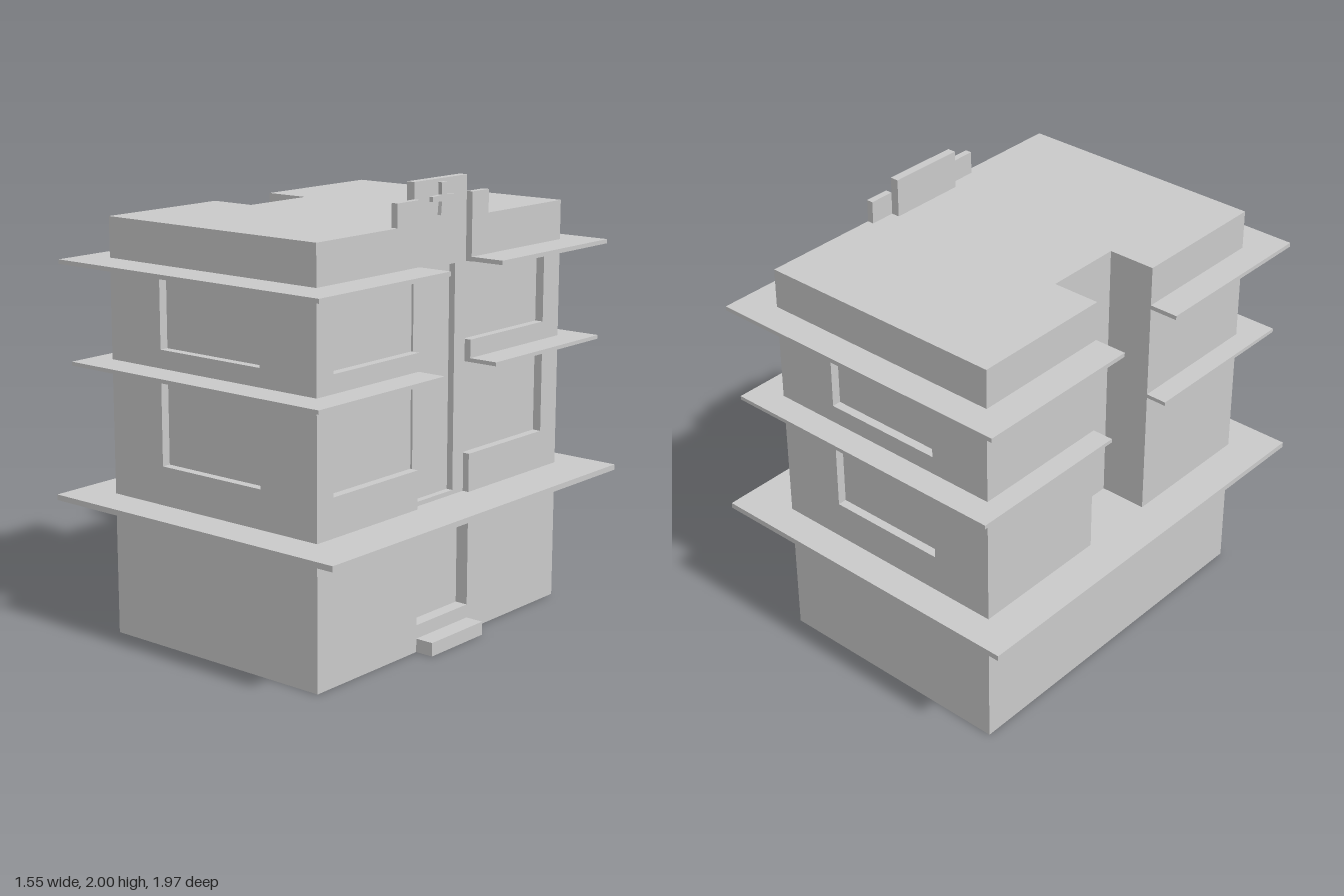
import * as THREE from 'three';

const material = new THREE.MeshStandardMaterial({ color: 0xcccccc, flatShading: true });

// Main dimensions of the building
const LEFT = 0.545, RIGHT = -0.6, FRONT = 0.81, BACK = -0.84;
const BAY_F = 0.17, BAY_B = -0.185; // central bay on the entrance side and the rear shaft
const REVEAL = 0.04;

export function createModel() {
  const group = new THREE.Group();

  const add = (name, geometry) => {
    const mesh = new THREE.Mesh(geometry, material);
    mesh.name = name;
    group.add(mesh);
    return mesh;
  };

  // Box given by its limits on each axis
  const box = (name, x0, x1, y0, y1, z0, z1) =>
    add(name, new THREE.BoxGeometry(x1 - x0, y1 - y0, z1 - z0))
      .position.set((x0 + x1) / 2, (y0 + y1) / 2, (z0 + z1) / 2);

  // Floor plan of [x, z] corners raised from y0 to y1
  const storey = (name, plan, y0, y1) => {
    const shape = new THREE.Shape(plan.map(([x, z]) => new THREE.Vector2(x, -z)));
    const geometry = new THREE.ExtrudeGeometry(shape, { depth: y1 - y0, bevelEnabled: false });
    geometry.rotateX(-Math.PI / 2);
    add(name, geometry).position.y = y0;
  };

  // Recess in a wall, as the four corners passed when walking along it
  const recessX = (wall, depth, a, b) => [[wall, a], [wall - depth, a], [wall - depth, b], [wall, b]];
  const recessZ = (wall, depth, a, b) => [[a, wall], [a, wall - depth], [b, wall - depth], [b, wall]];

  // Upper floor plan: rear shaft, entrance bay, and optional windows and tall panel
  const upperPlan = (windows, panel) => [
    [RIGHT, FRONT],
    ...(windows ? recessZ(FRONT, REVEAL, -0.31, 0.245) : []),
    [LEFT, FRONT],
    ...(windows ? [[LEFT, 0.71], [LEFT - REVEAL, 0.71], [LEFT - REVEAL, BAY_F]] : [[LEFT, BAY_F]]),
    [0.515, BAY_F],
    ...(panel ? recessX(0.515, 0.03, 0.13, -0.11) : []),
    [0.515, BAY_B],
    ...(windows ? [[LEFT - REVEAL, BAY_B], [LEFT - REVEAL, -0.72], [LEFT, -0.72]] : [[LEFT, BAY_B]]),
    [LEFT, BACK],
    ...(windows ? recessZ(BACK, -REVEAL, 0.245, -0.31) : []),
    [RIGHT, BACK],
    [RIGHT, BAY_B], [-0.385, BAY_B], [-0.385, BAY_F], [RIGHT, BAY_F],
  ];

  // Ground floor with recessed doorway and step
  box('plinth', RIGHT, LEFT, 0, 0.12, BACK, FRONT);
  storey('groundFloor', [
    [RIGHT, FRONT], [LEFT, FRONT],
    ...recessX(LEFT, 0.06, BAY_F, BAY_B),
    [LEFT, BACK], [RIGHT, BACK],
  ], 0.12, 0.605);
  box('entranceStep', LEFT - 0.01, 0.63, 0, 0.06, BAY_B, BAY_F);

  // Upper walls, bottom to top: [y0, y1, windows, panel]
  [
    [0.63, 0.65, false, false],
    [0.65, 0.8, false, true],
    [0.8, 1.205, true, true],
    [1.205, 1.3, false, true],
    [1.3, 1.635, true, true],
    [1.635, 1.83, false, false],
  ].forEach(([y0, y1, windows, panel]) => storey('upperWalls', upperPlan(windows, panel), y0, y1));

  // Projecting slabs: one full, two split around the central bay
  box('firstFloorSlab', -0.78, 0.775, 0.605, 0.63, -0.985, 0.985);
  [
    ['secondFloorCanopy', 0.68, -0.695, -0.695, 1.203, 1.22, 0.955, -0.96],
    ['topCanopy', 0.705, -0.73, -0.745, 1.636, 1.655, 0.98, -0.975],
  ].forEach(([name, left, frontRight, backRight, y0, y1, front, back]) => {
    const half = (x0, zWall, zEdge) => {
      // U-shaped strip wrapped around the walls
      const z0 = Math.min(zWall, zEdge), z1 = Math.max(zWall, zEdge);
      const wallZ = zEdge > 0 ? FRONT - 0.05 : BACK + 0.05;
      box(name, x0, left, y0, y1, Math.min(wallZ, zEdge), Math.max(wallZ, zEdge));
      box(name, x0, RIGHT + 0.05, y0, y1, z0, z1);
      box(name, LEFT - 0.05, left, y0, y1, z0, z1);
    };
    half(frontRight, BAY_F, front);
    half(backRight, BAY_B, back);
  });

  // Stepped parapet with a raised cross
  box('signPanel', 0.477, 0.515, 1.83, 2, BAY_B, BAY_F);
  box('parapetFront', 0.515, LEFT, 1.83, 1.93, BAY_F, 0.315);
  box('parapetBack', 0.515, LEFT, 1.83, 1.93, -0.3, BAY_B);
  const cross = [
    [0.07, -0.01], [0.07, 0.01], [0.016, 0.014], [0.02, 0.066], [-0.02, 0.066], [-0.016, 0.014],
    [-0.078, 0.01], [-0.078, -0.01], [-0.016, -0.014], [-0.022, -0.07], [0.022, -0.07], [0.016, -0.014],
  ].map(([u, v]) => new THREE.Vector2(u, v));
  const crossGeometry = new THREE.ExtrudeGeometry(new THREE.Shape(cross), { depth: 0.02, bevelEnabled: false });
  crossGeometry.rotateY(Math.PI / 2);
  add('cross', crossGeometry).position.set(0.513, 1.92, -0.008);

  return group;
}
